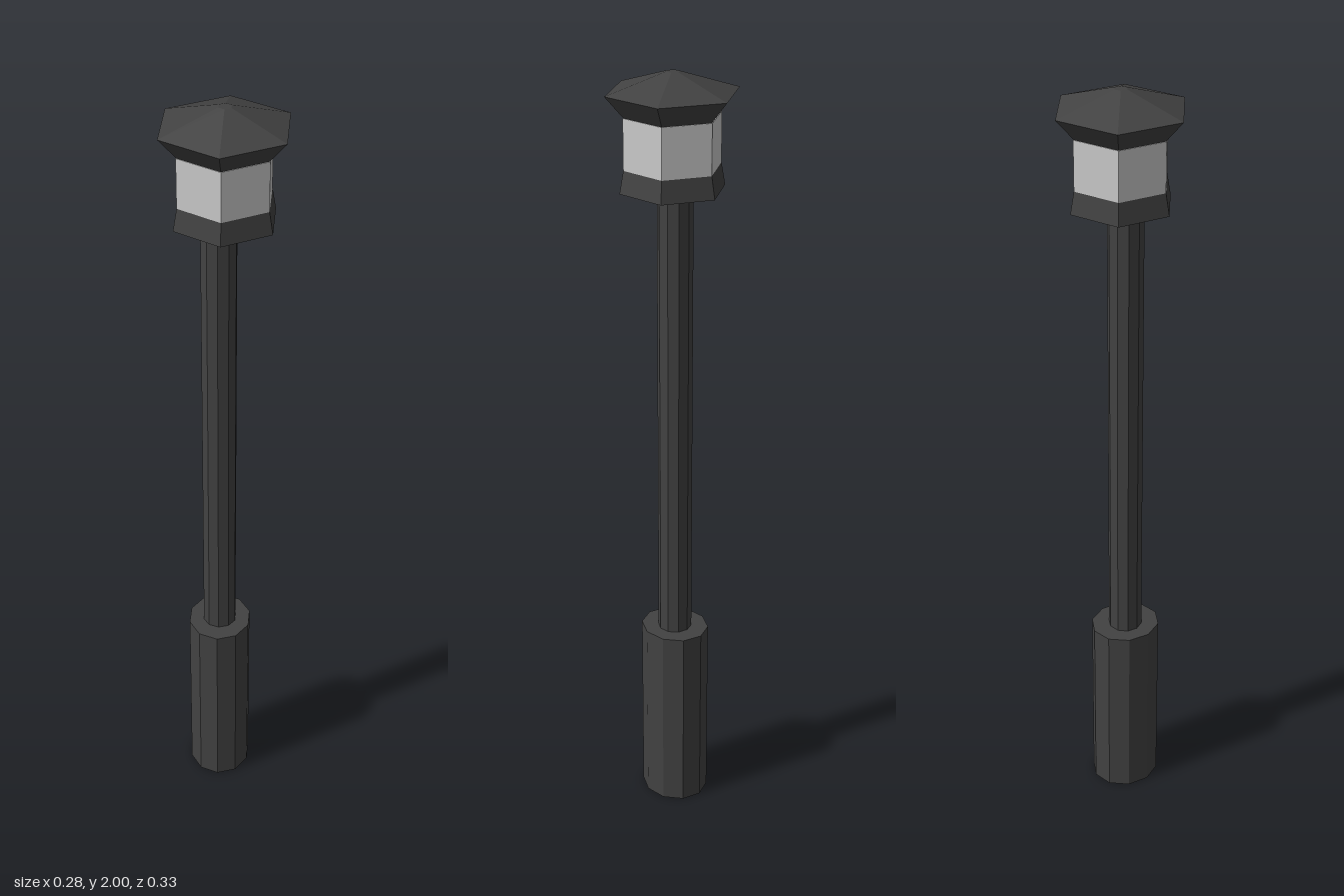
import * as THREE from 'three';

export function createModel() {
  const lamp = new THREE.Group();
  lamp.name = 'lampPost';
  const metal = new THREE.MeshStandardMaterial({ color: 0x424242, flatShading: true });
  const glass = new THREE.MeshStandardMaterial({ color: 0xcccccc, flatShading: true });

  // Upright prism or frustum from y0 to y1, with a corner facing +z
  function addPrism(name, material, sides, rBottom, rTop, y0, y1, x = 0, z = 0) {
    const geometry = new THREE.CylinderGeometry(rTop, rBottom, y1 - y0, sides);
    const mesh = new THREE.Mesh(geometry, material);
    mesh.name = name;
    mesh.position.set(x, (y0 + y1) / 2, z);
    lamp.add(mesh);
    return mesh;
  }

  // Post, set slightly off the lantern's axis; the base is a little narrower in x
  const postX = -0.014, postZ = 0.005;
  const base = addPrism('base', metal, 10, 0.0925, 0.0925, 0, 0.515, postX, postZ);
  base.scale.x = 0.9;
  addPrism('pole', metal, 10, 0.044, 0.044, 0.515, 1.722, postX, postZ);

  // Six-sided lantern
  addPrism('lanternCollar', metal, 6, 0.131, 0.121, 1.722, 1.777);
  addPrism('lanternGlass', glass, 6, 0.121, 0.121, 1.777, 1.9);
  addPrism('roofEaves', metal, 6, 0.119, 0.164, 1.9, 1.953);
  addPrism('roofTop', metal, 6, 0.164, 0.017, 1.953, 2);

  return lamp;
}
